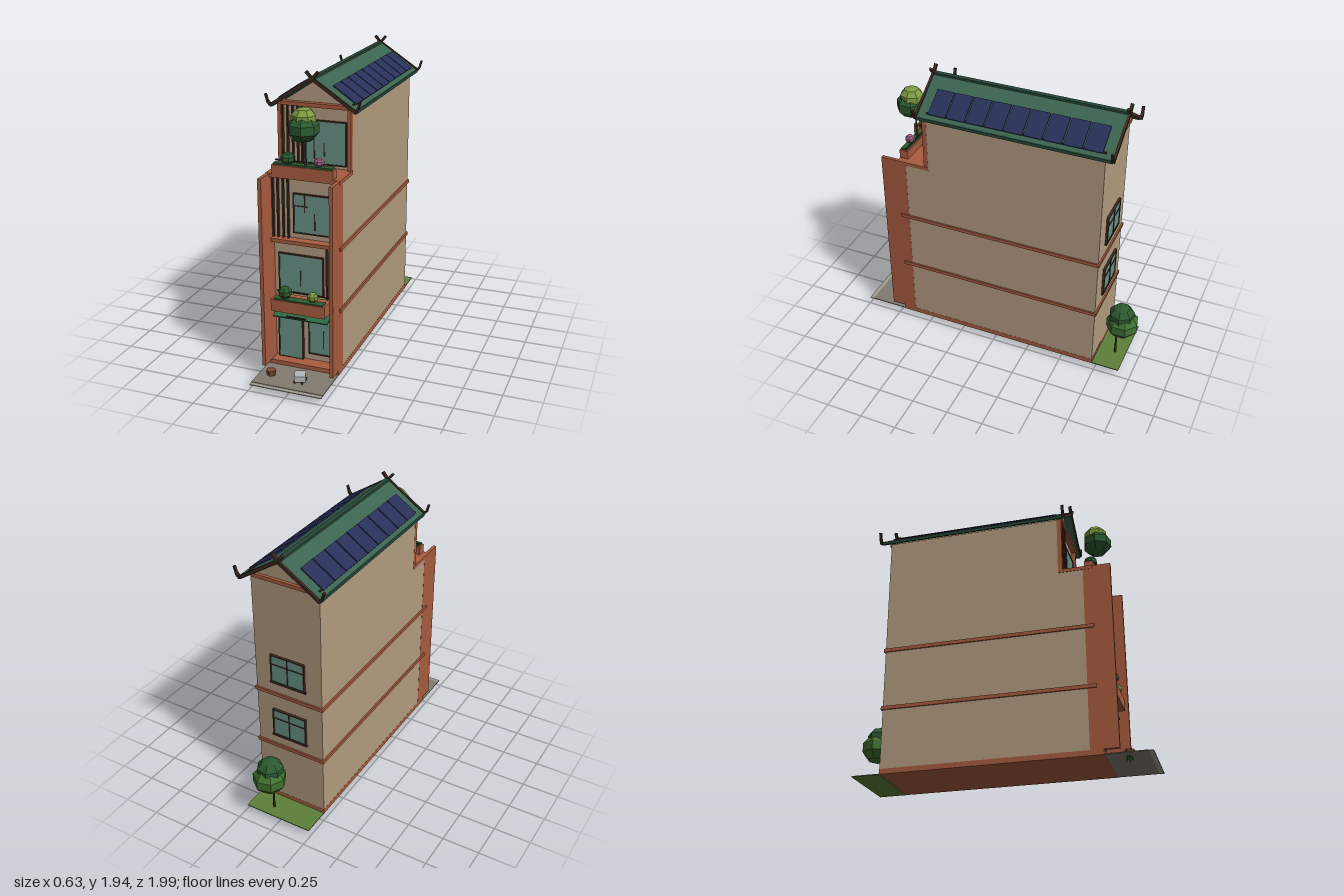
import * as THREE from 'three';

const mat = (color, flat = false) =>
  new THREE.MeshStandardMaterial({ color, flatShading: flat, side: THREE.DoubleSide });
const M = {
  wall: mat(0xb39c80), brick: mat(0xa85c3f), wood: mat(0x3d2a20), roof: mat(0x3c6450),
  trim: mat(0x264838), panel: mat(0x283058), glass: mat(0x689287), paving: mat(0x827b70),
  curb: mat(0xa09d92), grass: mat(0x5c8038), metal: mat(0xb4b8b8), awning: mat(0x2c6a45),
  leaf: mat(0x3f7030, true), dark: mat(0x2c5a30, true), light: mat(0x7c9c40, true),
  flower: mat(0xa06080, true), pot: mat(0x7a4a30, true),
};

export function createModel() {
  const root = new THREE.Group();
  root.name = 'townhouse';
  let parent = root;

  const add = (name, geo, m, x = 0, y = 0, z = 0) => {
    const mesh = new THREE.Mesh(geo, m);
    mesh.name = name;
    mesh.position.set(x, y, z);
    parent.add(mesh);
    return mesh;
  };
  // Box given by its limits on each axis
  const box = (name, m, x0, x1, y0, y1, z0, z1) =>
    add(name, new THREE.BoxGeometry(x1 - x0, y1 - y0, z1 - z0), m,
      (x0 + x1) / 2, (y0 + y1) / 2, (z0 + z1) / 2);
  // Outline in x/y, extruded from z0 to z1
  const prism = (name, m, pts, z0, z1) =>
    add(name, new THREE.ExtrudeGeometry(new THREE.Shape(pts.map(p => new THREE.Vector2(...p))),
      { depth: z1 - z0, bevelEnabled: false }), m, 0, 0, z0);
  // Square bar between two points of a z plane
  const bar = (name, m, [ax, ay], [bx, by], z, w, d) => {
    const b = add(name, new THREE.BoxGeometry(Math.hypot(bx - ax, by - ay) + w * 0.6, w, d), m,
      (ax + bx) / 2, (ay + by) / 2, z);
    b.rotation.z = Math.atan2(by - ay, bx - ax);
  };
  const blob = (name, m, r, x, y, z, sy = 1, turn = 0) => {
    const b = add(name, new THREE.SphereGeometry(r, 7, 5), m, x, y, z);
    b.scale.y = sy;
    b.rotation.y = turn;
  };
  const group = (name, build) => {
    const g = new THREE.Group();
    g.name = name;
    parent = g;
    build();
    parent = root;
    root.add(g);
  };
  // Framed pane; z is the wall face, s the outward direction
  const pane = (name, x0, x1, y0, y1, z, s = 1, bars = []) => group(name, () => {
    const t = 0.008, zc = z + s * 0.006;
    box('glass', M.glass, x0, x1, y0, y1, zc - 0.005, zc + 0.005);
    const frame = (a, b, c, d) => box('frame', M.wood, a, b, c, d, zc - 0.01, zc + 0.01);
    frame(x0 - t, x0, y0 - t, y1 + t);
    frame(x1, x1 + t, y0 - t, y1 + t);
    frame(x0, x1, y0 - t, y0);
    frame(x0, x1, y1, y1 + t);
    for (const [a, b, c, d] of bars) frame(a - 0.003, b + 0.003, c - 0.003, d + 0.003);
  });

  // Ground
  box('pavement', M.paving, -0.24, 0.24, 0.054, 0.06, 0.7, 0.97);
  box('curb', M.curb, -0.24, 0.24, 0.052, 0.057, 0.97, 1.0);
  box('backLawn', M.grass, -0.24, 0.24, 0.052, 0.058, -0.92, -0.73);
  box('plinth', M.brick, -0.241, 0.241, 0.053, 0.088, -0.731, 0.705);

  // Walls with gabled top storey
  box('lowerWalls', M.wall, -0.24, 0.24, 0.085, 1.33, -0.73, 0.62);
  prism('upperWalls', M.wall,
    [[-0.24, 1.33], [0.24, 1.33], [0.24, 1.725], [0, 1.885], [-0.24, 1.725]], -0.73, 0.455);
  for (const y of [0.497, 0.907])
    box('floorBand', M.brick, -0.25, 0.25, y - 0.012, y + 0.012, -0.74, 0.68);
  box('terraceSlab', M.brick, -0.243, 0.243, 1.318, 1.342, 0.455, 0.68);
  for (const s of [-1, 1]) {
    const [a, b] = s < 0 ? [-0.241, -0.218] : [0.218, 0.241];
    box('sideFin', M.brick, a, b, 0.088, 1.34, 0.62, 0.8);
    box('upperFin', M.brick, a, b, 1.34, 1.73, 0.455, 0.485);
  }
  box('frontGableBeam', M.brick, -0.22, 0.22, 1.725, 1.75, 0.45, 0.49);
  box('backGableBeam', M.brick, -0.22, 0.22, 1.725, 1.75, -0.75, -0.72);

  // Doors and windows
  pane('entranceDoor', -0.187, -0.033, 0.09, 0.39, 0.625);
  box('doorHead', M.wall, -0.218, 0.0, 0.4, 0.413, 0.62, 0.645);
  pane('groundWindow', 0.02, 0.212, 0.145, 0.41, 0.625, 1, [[0.115, 0.115, 0.19, 0.31]]);
  pane('secondFloorWindow', -0.18, 0.107, 0.555, 0.803, 0.62, 1, [[-0.04, -0.04, 0.6, 0.7]]);
  pane('thirdFloorWindow', -0.075, 0.197, 0.963, 1.208, 0.62, 1,
    [[-0.006, -0.006, 1.1, 1.208], [-0.075, 0.01, 1.135, 1.135], [0.06, 0.06, 0.99, 1.09]]);
  pane('terraceWindow', -0.075, 0.197, 1.37, 1.635, 0.455, 1,
    [[-0.006, -0.006, 1.4, 1.635], [0.06, 0.06, 1.42, 1.5]]);
  for (const y of [0.595, 1.01]) {
    pane('backWindow', -0.115, 0.115, y, y + 0.185, -0.73, -1,
      [[0, 0, y, y + 0.185], [-0.115, 0.115, y + 0.125, y + 0.125]]);
    box('backSill', M.wood, -0.13, 0.13, y - 0.018, y - 0.008, -0.745, -0.73);
  }

  // Vertical timber slats
  const slats = (xs, y0, y1, z) => xs.forEach(x =>
    box('slat', M.wood, x - 0.005, x + 0.005, y0, y1, z, z + 0.02));
  slats([0.142, 0.178, 0.212], 0.51, 0.895, 0.63);
  slats([-0.213, -0.18, -0.145, -0.112], 0.92, 1.318, 0.63);
  slats([-0.213, -0.18, -0.145, -0.112, -0.085], 1.342, 1.725, 0.46);

  // Roof
  prism('roofSlopes', M.roof,
    [[0, 1.91], [0.275, 1.725], [0.27, 1.71], [0, 1.887], [-0.27, 1.71], [-0.275, 1.725]],
    -0.785, 0.505);
  box('ridgeCap', M.trim, -0.015, 0.015, 1.896, 1.914, -0.785, 0.505);
  const pitch = Math.atan2(0.185, 0.275);
  for (const s of [-1, 1]) {
    box('eaveTrim', M.trim, s * 0.275 - 0.006, s * 0.275 + 0.006, 1.71, 1.73, -0.785, 0.505);
    // Crossed bargeboards with upturned ends
    for (const z of [-0.79, 0.508]) group('bargeboard', () => {
      bar('ridgeHorn', M.wood, [-s * 0.035, 1.945], [0, 1.905], z, 0.016, 0.02);
      bar('board', M.wood, [0, 1.905], [s * 0.275, 1.724], z, 0.02, 0.016);
      bar('eaveHorn', M.wood, [s * 0.275, 1.724], [s * 0.293, 1.745], z, 0.016, 0.02);
      bar('eaveTip', M.wood, [s * 0.293, 1.745], [s * 0.306, 1.788], z, 0.012, 0.018);
    });
    // Solar panels
    group('solarPanels', () => {
      for (let i = 0; i < 9; i++) {
        const p = add('solarPanel', new THREE.BoxGeometry(0.182, 0.008, 0.119), M.panel,
          s * 0.18, 1.804, -0.655 + i * 0.128);
        p.rotation.z = -s * pitch;
      }
      box('panelRail', M.wood, s * 0.24 - 0.004, s * 0.24 + 0.004, 1.745, 1.758, -0.735, 0.445);
    });
  }

  // Awning and balcony planters
  const awning = box('awning', M.awning, -0.183, 0.183, 0.44, 0.448, 0.62, 0.75);
  awning.rotation.x = 0.35;
  box('awningRail', M.wood, -0.09, 0.04, 0.432, 0.439, 0.745, 0.755);
  box('balconyPlanter', M.brick, -0.18, 0.18, 0.475, 0.553, 0.67, 0.782);
  box('balconyHedge', M.dark, -0.165, 0.165, 0.55, 0.56, 0.72, 0.775);
  box('balconyRail', M.wood, -0.18, 0.18, 0.57, 0.576, 0.68, 0.686);
  box('terracePlanter', M.brick, -0.2, 0.2, 1.342, 1.4, 0.622, 0.682);
  box('terraceHedge', M.dark, -0.19, 0.19, 1.4, 1.412, 0.63, 0.675);
  box('terraceRail', M.wood, -0.195, 0.2, 1.416, 1.424, 0.63, 0.636);

  // Shrubs
  blob('balconyShrub', M.dark, 0.046, -0.095, 0.6, 0.75, 0.9);
  blob('balconyShrub', M.light, 0.036, 0.09, 0.595, 0.75, 0.9, 0.5);
  blob('terraceShrub', M.dark, 0.046, -0.105, 1.44, 0.65, 0.85, 0.3);
  blob('floweringShrub', M.flower, 0.034, 0.1, 1.437, 0.655, 0.8, 0.8);

  // Trees: trunk and two-tier crown
  const tree = (name, x, z, y0, yc, r, lean, m1, m2) => group(name, () => {
    add('trunk', new THREE.CylinderGeometry(0.004, 0.008, yc - y0, 6), M.wood, x, (yc + y0) / 2, z);
    blob('lowerCrown', m1, r, x, yc, z + lean, 0.86);
    blob('upperCrown', m2, r * 0.8, x, yc + r * 0.6, z + lean * 0.7, 0.85, 0.5);
  });
  tree('terraceTree', 0.012, 0.65, 1.4, 1.645, 0.1, 0.03, M.dark, M.light);
  tree('backTree', 0.075, -0.845, 0.055, 0.335, 0.115, -0.035, M.leaf, M.dark);

  // Pavement objects
  const crate = box('pavementBox', M.metal, 0.01, 0.08, 0.075, 0.115, 0.82, 0.9);
  crate.rotation.y = 0.35;
  for (const [x, z] of [[0.02, 0.83], [0.07, 0.83], [0.02, 0.89], [0.07, 0.89]])
    box('boxFoot', M.wood, x - 0.005, x + 0.005, 0.06, 0.077, z - 0.005, z + 0.005);
  group('pottedPlant', () => {
    add('pot', new THREE.CylinderGeometry(0.032, 0.026, 0.036, 6), M.pot, -0.16, 0.077, 0.845);
    for (let i = 0; i < 6; i++) {
      const a = i * Math.PI / 3;
      const leaf = add('leaf', new THREE.ConeGeometry(0.007, 0.05, 4), M.leaf,
        -0.16 + 0.018 * Math.cos(a), 0.038, 0.845 + 0.018 * Math.sin(a));
      leaf.rotation.set(Math.PI - 0.5 * Math.sin(a), 0, 0.5 * Math.cos(a));
    }
    add('leaf', new THREE.ConeGeometry(0.006, 0.045, 4), M.leaf, -0.16, 0.0325, 0.845).rotation.x = Math.PI;
  });
  return root;
}
